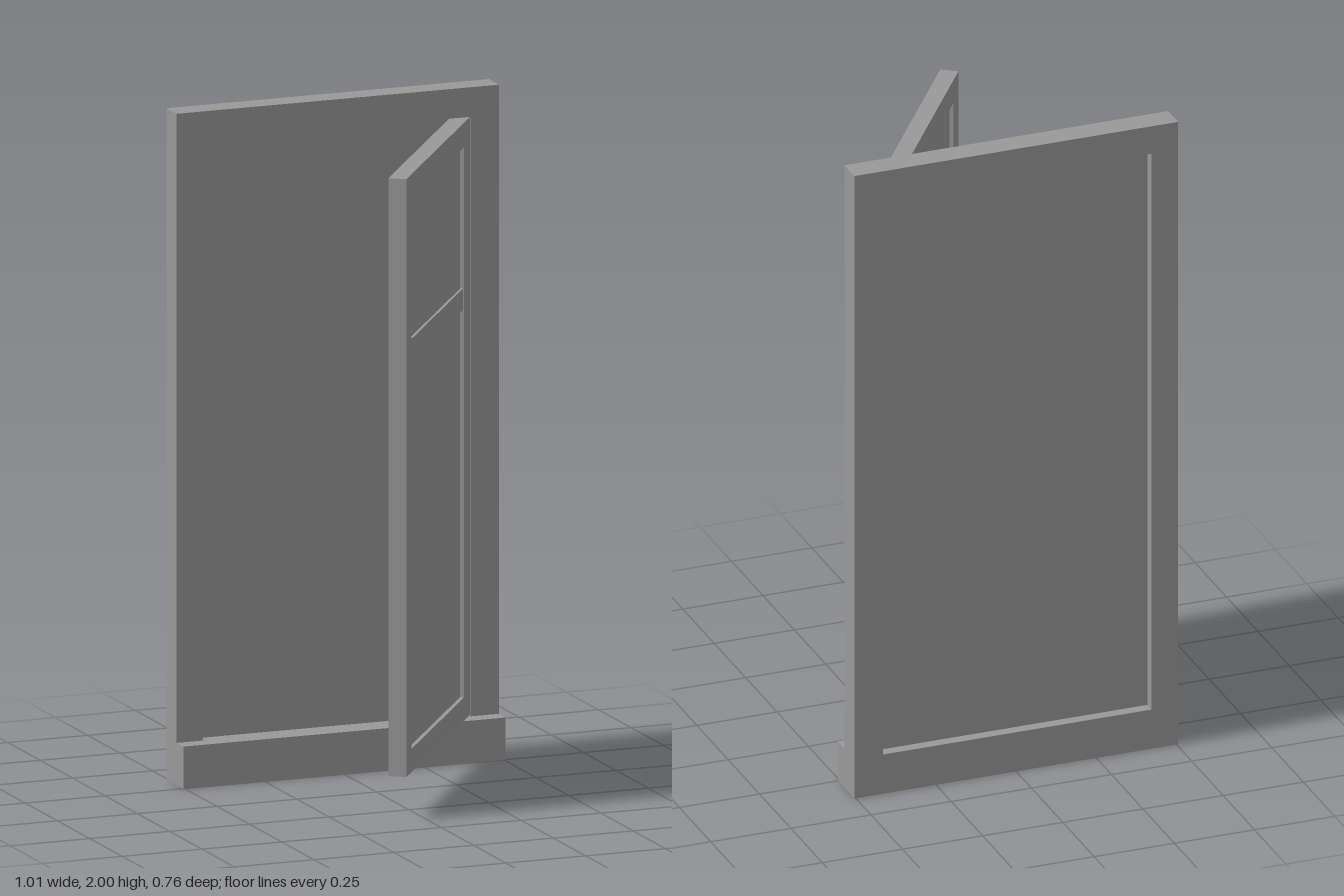
import * as THREE from 'three';

const material = new THREE.MeshStandardMaterial({ color: 0x999999, flatShading: true });

// Rectangular surround with a rectangular opening, extruded from z0 to z1
function surround(name, outer, inner, z0, z1) {
  const corners = ([x0, x1, y0, y1]) => [[x0, y0], [x1, y0], [x1, y1], [x0, y1]].map(p => new THREE.Vector2(...p));
  const shape = new THREE.Shape(corners(outer));
  shape.holes.push(new THREE.Path(corners(inner).reverse()));
  const geometry = new THREE.ExtrudeGeometry(shape, { depth: z1 - z0, bevelEnabled: false });
  geometry.translate(0, 0, z0);
  const mesh = new THREE.Mesh(geometry, material);
  mesh.name = name;
  return mesh;
}

// Box given by its extents
function block(name, [x0, x1, y0, y1], z0, z1) {
  const mesh = new THREE.Mesh(new THREE.BoxGeometry(x1 - x0, y1 - y0, z1 - z0), material);
  mesh.position.set((x0 + x1) / 2, (y0 + y1) / 2, (z0 + z1) / 2);
  mesh.name = name;
  return mesh;
}

export function createModel() {
  const model = new THREE.Group();
  model.name = 'openDoor';

  // Fixed frame with a recessed panel and a projecting sill
  const opening = [-0.422, 0.416, 0.126, 1.912];
  model.add(
    surround('doorFrame', [-0.505, 0.505, 0, 2], opening, -0.379, -0.3),
    block('framePanel', opening, -0.345, -0.335),
    block('sill', [-0.505, 0.505, 0, 0.126], -0.3, -0.248),
  );

  // Open door leaf: local x runs from the free edge to the hinge, local z faces outward
  const width = 0.831, thickness = 0.054, recess = 0.012;
  const leafOpening = [0.063, width - 0.075, 0.199, 1.838];
  const door = new THREE.Group();
  door.name = 'doorLeaf';
  door.add(
    surround('leafFrame', [0, width, 0.13, 1.911], leafOpening, -thickness, 0),
    block('leafPanel', leafOpening, -thickness + recess, -recess),
    block('midRail', [leafOpening[0], leafOpening[1], 1.351, 1.416], -thickness + 0.004, -0.004),
  );
  door.position.set(-0.06, 0, 0.379);
  door.rotation.y = 0.962;
  model.add(door);

  return model;
}
